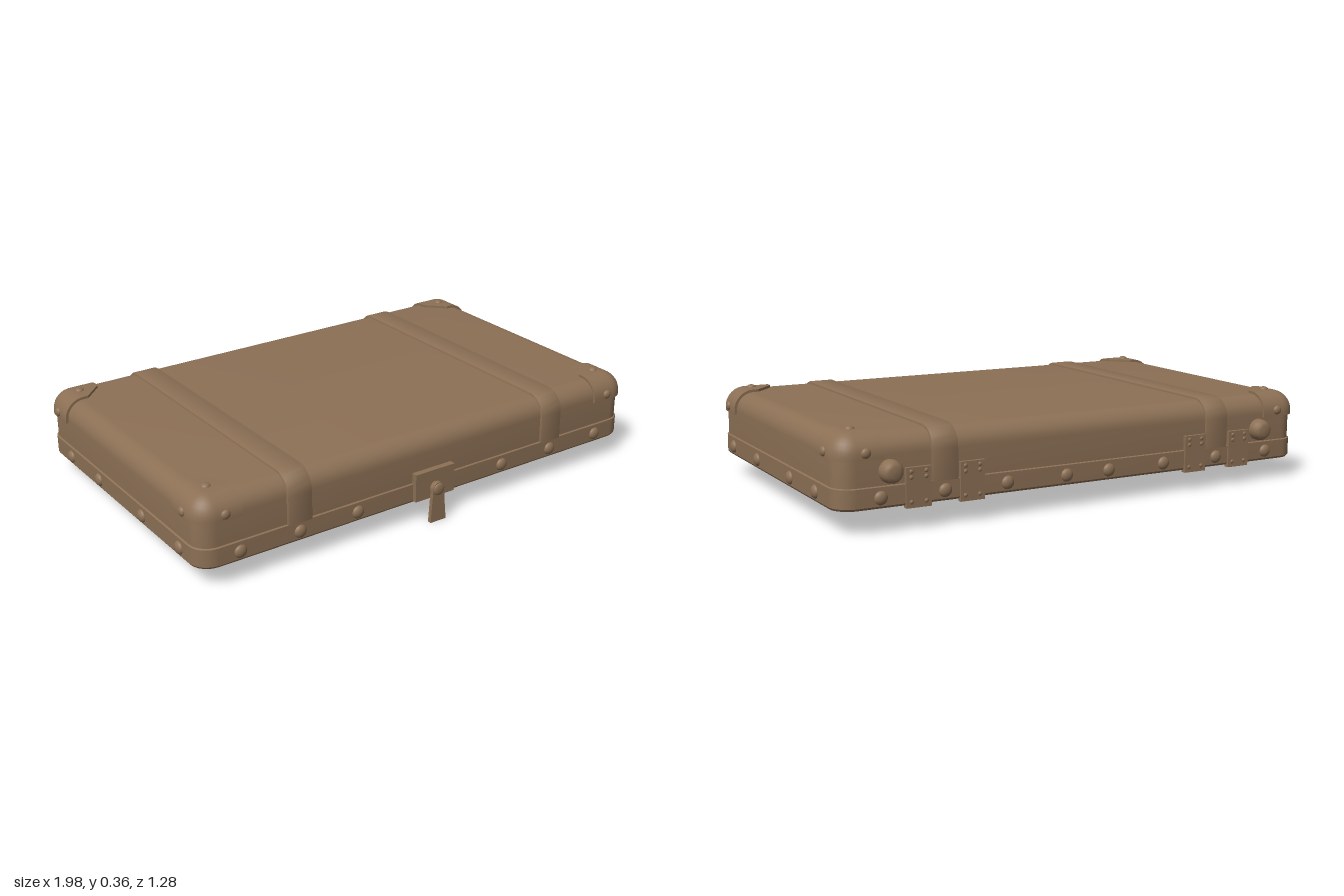
import * as THREE from 'three';
import { toCreasedNormals } from 'three/addons/utils/BufferGeometryUtils.js';

const HX = 0.97, HZ = 0.59, R = 0.07;            // lid half sizes, edge radius
const BOTTOM = 0.088, SEAM = 0.165, TOP = 0.34;

// Skin a grid of points (rows of equal length)
function skin(rows, flip) {
  const n = rows[0].length, index = [];
  for (let i = 0; i < rows.length - 1; i++) {
    for (let j = 0; j < n - 1; j++) {
      const a = i * n + j, b = a + 1, c = a + n, d = c + 1;
      if (flip) index.push(a, b, c, b, d, c);
      else index.push(a, c, b, b, c, d);
    }
  }
  const g = new THREE.BufferGeometry();
  g.setAttribute('position', new THREE.Float32BufferAttribute(rows.flat(2), 3));
  g.setIndex(index);
  return toCreasedNormals(g, 0.6);
}

// Rounded rectangle at height y, inset by d
function ring(d, y) {
  const r = Math.max(R - d, 0), pts = [];
  for (let q = 0; q < 4; q++) {
    const sx = q === 0 || q === 3 ? 1 : -1, sz = q < 2 ? 1 : -1;
    for (let k = 0; k <= 8; k++) {
      const a = (q + k / 8) * Math.PI / 2;
      pts.push([sx * (HX - d - r) + r * Math.cos(a), y, sz * (HZ - d - r) + r * Math.sin(a)]);
    }
  }
  pts.push(pts[0]);
  return pts;
}

// Top edge fillet as [inset, height], offset outwards
function fillet(off, steps = 8) {
  const out = [];
  for (let k = 0; k <= steps; k++) {
    const a = k / steps * Math.PI / 2, r = R + off;
    out.push([R - r * Math.cos(a), TOP - R + r * Math.sin(a)]);
  }
  return out;
}

// Metal cap wrapping one corner, corner at the origin
function cornerCap() {
  const L = 0.165, path = [];
  const add = (x, z, nx, nz, t, off) => path.push({ x, z, nx, nz, t, off });
  add(-L, -R, 0, 1, 0, -0.004);
  add(-L, -R, 0, 1, 0, 0.01);
  for (let k = 0; k <= 8; k++) {
    const a = (1 - k / 8) * Math.PI / 2;
    add(-R, -R, Math.cos(a), Math.sin(a), 0.1 + 0.8 * k / 8, 0.01);
  }
  add(-R, -L, 1, 0, 1, 0.01);
  add(-R, -L, 1, 0, 1, -0.004);
  const at = (p, d, y) => [p.x + p.nx * (R - d), y, p.z + p.nz * (R - d)];
  const chamfer = (p, y) => [-L + 0.075 * p.t, y, -0.09 - 0.075 * p.t];
  const rows = [
    path.map(p => at(p, 0.004, 0.258)),
    path.map(p => at(p, -p.off, 0.258)),
  ];
  for (let k = 0; k <= 8; k++) rows.push(path.map(p => at(p, ...fillet(p.off)[k])));
  rows.push(path.map(p => chamfer(p, TOP + p.off)));
  rows.push(path.map(p => chamfer(p, TOP - 0.004)));
  return skin(rows, true);
}

// Strap running up the front, over the top and down the back
function strapGeometry(width) {
  const side = off => [[-off, SEAM], ...fillet(off)].map(([d, y]) => new THREE.Vector2(HZ - d, y));
  const arch = off => {
    const s = side(off);
    return [...s, ...s.slice().reverse().map(p => new THREE.Vector2(-p.x, p.y))];
  };
  const b = 0.005;
  const g = new THREE.ExtrudeGeometry(new THREE.Shape([...arch(0.004), ...arch(-0.008).reverse()]), {
    depth: width - 2 * b, bevelThickness: b, bevelSize: b, bevelSegments: 2,
  });
  g.translate(0, 0, -width / 2 + b);
  g.rotateY(-Math.PI / 2);
  return toCreasedNormals(g, 0.6);
}

export function createModel() {
  const model = new THREE.Group();
  const lid = new THREE.Group();
  lid.name = 'suitcaseLid';
  lid.position.z = -0.003;
  lid.rotation.z = 0.005;
  model.add(lid);

  const leather = new THREE.MeshStandardMaterial({ color: 0x8c7055 });
  leather.name = 'brown leather';

  const add = (name, geometry, x = 0, y = 0, z = 0) => {
    const m = new THREE.Mesh(geometry, leather);
    m.name = name;
    m.position.set(x, y, z);
    lid.add(m);
    return m;
  };
  const up = new THREE.Vector3(0, 1, 0);
  const stud = (name, geometry, x, y, z, nx, ny, nz) =>
    add(name, geometry, x, y, z).quaternion.setFromUnitVectors(up, new THREE.Vector3(nx, ny, nz));
  const dome = (r, h) =>
    new THREE.SphereGeometry(r, 20, 8, 0, Math.PI * 2, 0, Math.PI / 2).scale(1, h / r, 1);

  // Hollow shell: inner ceiling, inner wall, rim, band, outer wall, rounded top
  const profile = [
    [HZ, 0.315], [0.06, 0.315], [0.035, 0.308], [0.022, 0.285], [0.02, BOTTOM + 0.004],
    [0.012, BOTTOM], [0, BOTTOM], [-0.006, BOTTOM + 0.008],
    [-0.006, SEAM - 0.003], [0, SEAM],
    ...fillet(0), [HZ, TOP],
  ];
  add('shell', skin(profile.map(([d, y]) => ring(d, y))));

  // Straps
  const strap = strapGeometry(0.1);
  for (const s of [-1, 1]) add('strap', strap, s * 0.577);

  // Corner caps with small rivets
  const cap = cornerCap(), smallRivet = dome(0.018, 0.012);
  [[1, 1, 0], [1, -1, 1], [-1, -1, 2], [-1, 1, 3]].forEach(([sx, sz, k]) => {
    add('cornerCap', cap, sx * HX, 0, sz * HZ).rotation.y = k * Math.PI / 2;
    stud('capRivet', smallRivet, sx * 0.885, TOP + 0.008, sz * 0.495, 0, 1, 0);
    stud('capRivet', smallRivet, sx * (HX + 0.008), 0.282, sz * 0.495, sx, 0, 0);
    stud('capRivet', smallRivet, sx * 0.87, 0.282, sz * (HZ + 0.008), 0, 0, sz);
  });

  // Large rivets along the lower band
  const rivet = dome(0.025, 0.016), bandY = 0.125;
  for (const x of [0.09, 0.333, 0.577, 0.817]) {
    for (const s of [-1, 1]) {
      if (x > 0.1) stud('bandRivet', rivet, s * x, bandY, HZ + 0.004, 0, 0, 1);
      stud('bandRivet', rivet, s * x, bandY, -HZ - 0.004, 0, 0, -1);
    }
  }
  for (const z of [-0.405, -0.165, 0.18, 0.455]) {
    for (const s of [-1, 1]) stud('bandRivet', rivet, s * (HX + 0.004), bandY, z, s, 0, 0);
  }

  // Hinge plates and round feet on the back
  const plate = new THREE.BoxGeometry(0.094, 0.14, 0.02);
  const pin = dome(0.008, 0.005);
  const foot = new THREE.LatheGeometry([
    [0.041, 0], [0.041, 0.015], [0.038, 0.032], [0.031, 0.043], [0.018, 0.047], [0, 0.048],
  ].map(p => new THREE.Vector2(...p)), 24);
  for (const s of [-1, 1]) {
    for (const x of [0.475, 0.68]) {
      add('hingePlate', plate, s * x, 0.149, -HZ - 0.004);
      for (const dx of [-0.028, 0.028]) {
        for (const y of [0.1, 0.185, 0.205]) stud('hingePin', pin, s * x + dx, y, -HZ - 0.013, 0, 0, -1);
      }
    }
    stud('backFoot', foot, s * 0.782, 0.213, -HZ + 0.002, 0, 0, -1);
  }

  // Front latch: plate, swinging hasp and pivot
  add('latchPlate', new THREE.BoxGeometry(0.177, 0.11, 0.035), 0, 0.15, HZ + 0.006);
  const hasp = new THREE.Shape([[-0.035, 0.004], [0.035, 0.004], [0.026, 0.1], [0.026, 0.135]]
    .map(p => new THREE.Vector2(...p)));
  hasp.absarc(0, 0.135, 0.026, 0, Math.PI);
  add('latchHasp', new THREE.ExtrudeGeometry(hasp, { depth: 0.016, bevelEnabled: false }), 0, 0, HZ + 0.03);
  const pivot = new THREE.CylinderGeometry(0.024, 0.024, 0.024, 20);
  stud('latchPivot', pivot, 0, 0.134, HZ + 0.026, 0, 0, 1);
  stud('latchRivet', dome(0.024, 0.008), 0, 0.134, HZ + 0.046, 0, 0, 1);

  return model;
}
